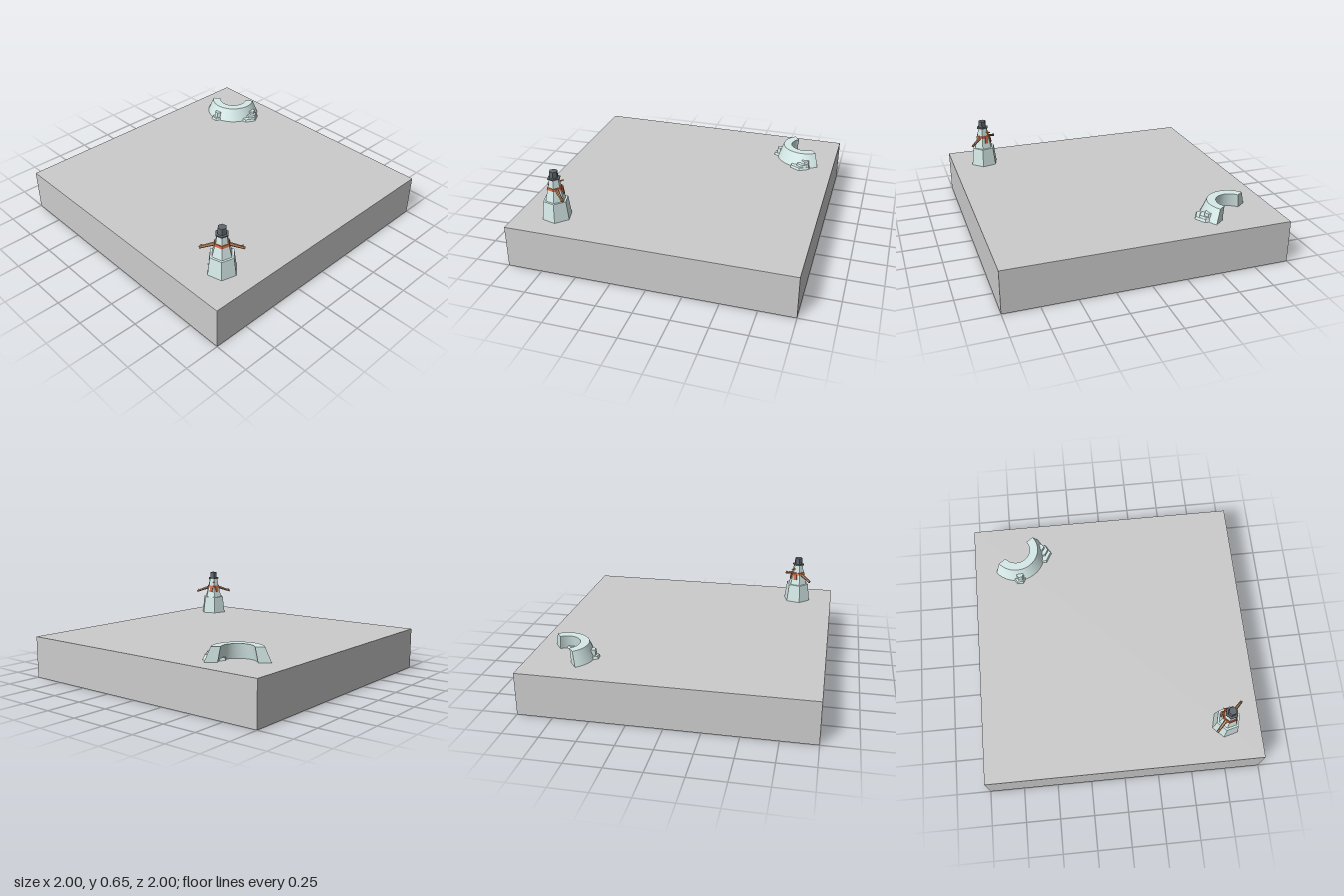
import * as THREE from 'three';
import { toCreasedNormals } from 'three/addons/utils/BufferGeometryUtils.js';

const GROUND = 0.305;
const paint = (color) => new THREE.MeshStandardMaterial({ color, flatShading: true });
const snow = paint(0xd6ebe9), scarfRed = paint(0xd0663f), wood = paint(0xb9845c);
const black = paint(0x60676c), carrot = paint(0xe0913f), grey = paint(0xcccccc);

function add(parent, name, geometry, material, x = 0, y = 0, z = 0) {
  const mesh = new THREE.Mesh(geometry, material);
  mesh.name = name;
  mesh.position.set(x, y, z);
  parent.add(mesh);
  return mesh;
}

// Six-sided tapered block standing on height y
function hexTier(parent, name, material, rBottom, rTop, y, height, x = 0, z = 0) {
  return add(parent, name, new THREE.CylinderGeometry(rTop, rBottom, height, 6), material, x, y + height / 2, z);
}

// Thin tapered stick between two points
function stick(parent, name, material, from, to, r0, r1) {
  const a = new THREE.Vector3(...from), b = new THREE.Vector3(...to);
  const mesh = add(parent, name, new THREE.CylinderGeometry(r1, r0, a.distanceTo(b), 6), material);
  mesh.position.copy(a).add(b).multiplyScalar(0.5);
  mesh.quaternion.setFromUnitVectors(new THREE.Vector3(0, 1, 0), b.sub(a).normalize());
}

function createSnowman() {
  const g = new THREE.Group();
  g.name = 'snowman';
  hexTier(g, 'lowerBody', snow, 0.105, 0.088, 0, 0.135);
  hexTier(g, 'upperBody', snow, 0.072, 0.05, 0.135, 0.09);
  hexTier(g, 'head', snow, 0.046, 0.037, 0.225, 0.07);
  hexTier(g, 'hatBrim', black, 0.046, 0.046, 0.291, 0.008);
  hexTier(g, 'hatCrown', black, 0.03, 0.03, 0.297, 0.05);

  // Scarf band with two hanging ends on the chest
  hexTier(g, 'scarf', scarfRed, 0.058, 0.052, 0.216, 0.016);
  for (const s of [-1, 1]) {
    const tail = add(g, 'scarfTail', new THREE.BoxGeometry(0.024, 0.05, 0.008), scarfRed, s * 0.024, 0.202, 0.05);
    tail.rotation.set(-0.22, s * 0.5, s * 0.25);
  }

  // Nose
  stick(g, 'nose', carrot, [0, 0.26, 0.03], [0, 0.262, 0.068], 0.009, 0.003);

  // Twig arms
  for (const s of [-1, 1]) {
    stick(g, 'arm', wood, [s * 0.045, 0.215, 0], [s * 0.143, 0.182, 0], 0.012, 0.009);
    stick(g, 'twig', wood, [s * 0.11, 0.193, 0], [s * 0.135, 0.2, 0.008], 0.005, 0.003);
  }
  g.position.set(-0.725, GROUND, 0.755);
  g.rotation.y = Math.PI * 0.75;
  return g;
}

function createFort() {
  const g = new THREE.Group();
  g.name = 'snowFort';

  // Half-ring wall with sloping sides
  const wall = new THREE.Group();
  wall.name = 'wall';
  const profile = [[0.125, 0], [0.21, 0], [0.168, 0.1], [0.106, 0.1], [0.125, 0]].map((p) => new THREE.Vector2(...p));
  const smoothSnow = new THREE.MeshStandardMaterial({ color: 0xd6ebe9, side: THREE.DoubleSide });
  const ring = new THREE.LatheGeometry(profile, 20, -Math.PI / 2, Math.PI);
  add(wall, 'ring', toCreasedNormals(ring, 0.5), smoothSnow);

  // Flat ends of the wall
  const end = new THREE.ShapeGeometry(new THREE.Shape(profile.slice(0, 4)));
  for (const s of [0, 1]) add(wall, 'wallEnd', end, smoothSnow).rotation.y = s * Math.PI;
  wall.position.set(0.757, 0, -0.671);
  wall.rotation.y = Math.atan2(-0.8, 0.6);
  g.add(wall);

  // Stepped lumps of snow against the outside
  const lumps = [
    [0.048, 0.04, 0.018, 0.562, -0.66], [0.034, 0.026, 0.06, 0.568, -0.655],
    [0.085, 0.078, 0.018, 0.755, -0.488], [0.06, 0.05, 0.034, 0.775, -0.48],
    [0.04, 0.03, 0.054, 0.79, -0.487],
  ];
  for (const [r0, r1, h, x, z] of lumps) hexTier(g, 'snowLump', snow, r0, r1, 0, h, x, z);
  g.position.y = GROUND;
  return g;
}

export function createModel() {
  const model = new THREE.Group();
  model.name = 'snowScene';
  add(model, 'groundSlab', new THREE.BoxGeometry(2, GROUND, 2), grey, 0, GROUND / 2, 0);
  model.add(createSnowman(), createFort());
  return model;
}
